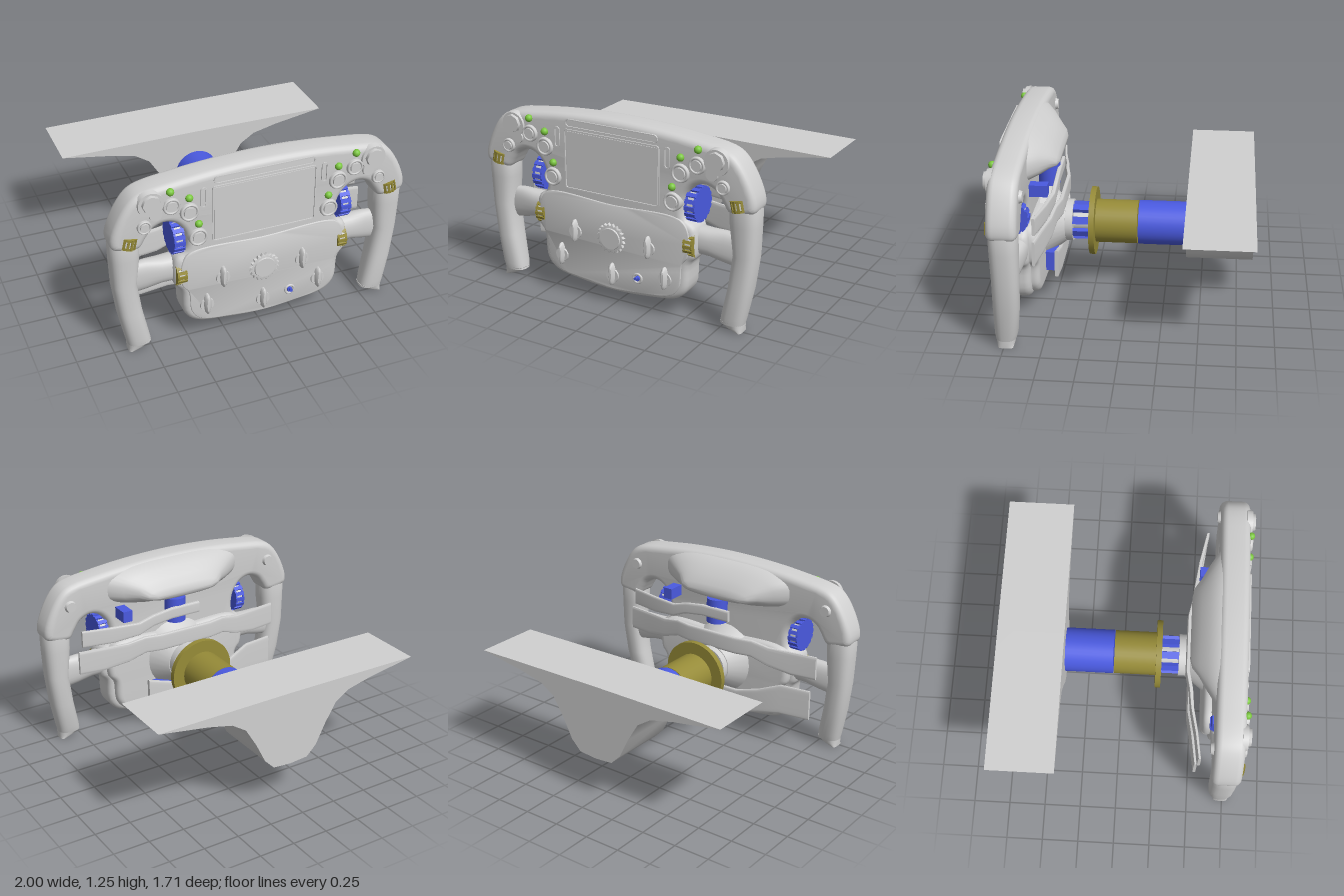
import * as THREE from 'three';
import { toCreasedNormals } from 'three/addons/utils/BufferGeometryUtils.js';

const mat = (name, color) => Object.assign(new THREE.MeshStandardMaterial({ color }), { name });
const X = new THREE.Vector3(1, 0, 0), Y = new THREE.Vector3(0, 1, 0), Z = new THREE.Vector3(0, 0, 1);
const FACE = 0.815; // z of the front face

// Closed loft through superellipse sections [x, y, z, halfU, halfV]; travels along u cross v
function loft(sections, u, v, exponent = 2, sides = 28, crease = 0.7) {
  const pos = [], idx = [], pw = 2 / exponent;
  const bend = (t) => Math.sign(t) * Math.abs(t) ** pw;
  for (const [x, y, z, hu, hv] of sections) {
    for (let i = 0; i < sides; i++) {
      const a = (i / sides) * Math.PI * 2;
      const p = new THREE.Vector3(x, y, z).addScaledVector(u, hu * bend(Math.cos(a))).addScaledVector(v, hv * bend(Math.sin(a)));
      pos.push(p.x, p.y, p.z);
    }
  }
  const last = sections.length - 1, c0 = pos.length / 3;
  pos.push(...sections[0].slice(0, 3), ...sections[last].slice(0, 3));
  for (let i = 0; i < sides; i++) {
    const j = (i + 1) % sides;
    for (let k = 0; k < last; k++) {
      const a = k * sides, b = a + sides;
      idx.push(a + i, a + j, b + j, a + i, b + j, b + i);
    }
    idx.push(c0, j, i, c0 + 1, last * sides + i, last * sides + j);
  }
  const g = new THREE.BufferGeometry();
  g.setAttribute('position', new THREE.Float32BufferAttribute(pos, 3));
  g.setIndex(idx);
  return toCreasedNormals(g, crease);
}

// Outline symmetric about x = 0 from its -x half, listed top to bottom
function outline(half, smooth = true) {
  const pts = [...half, ...half.filter((p) => p[0] < 0).reverse().map(([x, y]) => [-x, y])];
  if (!smooth) return new THREE.Shape(pts.map((p) => new THREE.Vector2(...p)));
  const curve = new THREE.CatmullRomCurve3(pts.map(([x, y]) => new THREE.Vector3(x, y, 0)), true);
  return new THREE.Shape(curve.getPoints(180).slice(0, -1).map((p) => new THREE.Vector2(p.x, p.y)));
}

// Extrusion between two z values with an inward rounded edge
function slab(shape, z0, z1, bevel = 0, crease = 0.6) {
  const g = new THREE.ExtrudeGeometry(shape, {
    depth: z1 - z0 - 2 * bevel, bevelEnabled: bevel > 0, bevelSize: bevel, bevelThickness: bevel,
    bevelOffset: -bevel, bevelSegments: 5, curveSegments: 10,
  });
  g.translate(0, 0, z0 + bevel);
  return toCreasedNormals(g, crease);
}

function roundRect(w, h, r, Type = THREE.Shape) {
  const s = new Type(), x = w / 2 - r, y = h / 2 - r;
  s.absarc(x, y, r, 0, Math.PI / 2);
  s.absarc(-x, y, r, Math.PI / 2, Math.PI);
  s.absarc(-x, -y, r, Math.PI, Math.PI * 1.5);
  s.absarc(x, -y, r, Math.PI * 1.5, Math.PI * 2);
  s.closePath();
  return s;
}

export function createModel() {
  const grey = mat('lightGrey', 0xd0d0d0), blue = mat('blue', 0x4a5ae0);
  const gold = mat('gold', 0x968b38), green = mat('green', 0x7cc840);
  const root = new THREE.Group();
  root.name = 'steeringWheel';

  const add = (name, geo, material, x = 0, y = 0, z = 0, parent = root) => {
    const m = new THREE.Mesh(geo, material);
    m.name = name;
    m.position.set(x, y, z);
    parent.add(m);
    return m;
  };
  // Cylinder along z; r0 is the radius at the front end
  const disc = (name, material, x, y, z0, z1, r0, r1 = r0, sides = 28) =>
    add(name, new THREE.CylinderGeometry(r0, r1, z1 - z0, sides).rotateX(Math.PI / 2), material, x, y, (z0 + z1) / 2);
  // Frame thin enough to read as an engraved border
  const frame = (name, w, h, r, x, y) => {
    const s = roundRect(w, h, r);
    s.holes.push(roundRect(w - 0.016, h - 0.016, r - 0.007, THREE.Path));
    add(name, slab(s, FACE - 0.005, FACE + 0.008), grey, x, y);
  };

  // Body: upper bar and centre section in one rounded slab
  add('body', slab(outline([
    [0, 1.258], [-0.3, 1.248], [-0.55, 1.225], [-0.8, 1.185], [-0.87, 1.14], [-0.95, 1.02], [-0.998, 0.88],
    [-0.985, 0.825], [-0.82, 0.8], [-0.775, 0.86], [-0.73, 0.92], [-0.66, 0.948], [-0.59, 0.93], [-0.535, 0.87],
    [-0.51, 0.79], [-0.52, 0.7], [-0.585, 0.645], [-0.592, 0.46], [-0.55, 0.4], [-0.53, 0.22], [-0.46, 0.145],
    [-0.25, 0.105], [0, 0.088],
  ]), 0.62, FACE, 0.045), grey);
  const lower = [[0, 0.7], [-0.49, 0.7], [-0.55, 0.63], [-0.55, 0.46], [-0.51, 0.4], [-0.49, 0.24], [-0.43, 0.17], [-0.2, 0.13], [0, 0.115]];
  add('lowerFrontPanel', slab(outline(lower), 0.8, 0.822, 0.007), grey);
  add('lowerRearShell', slab(outline(lower), 0.565, 0.7, 0.04), grey);
  add('rearHump', loft([
    [0, 1.1, 0.68, 0.145, 0.6], [0, 1.1, 0.63, 0.145, 0.54], [0, 1.085, 0.56, 0.115, 0.43],
    [0, 1.07, 0.51, 0.08, 0.34], [0, 1.05, 0.465, 0.045, 0.28], [0, 1.04, 0.45, 0.02, 0.22],
  ], Y, X, 2.8, 40, 1), grey);

  // Screen, light strip and side slots
  add('screen', new THREE.BoxGeometry(0.67, 0.37, 0.008), grey, 0, 0.95, FACE);
  frame('screenFrame', 0.7, 0.4, 0.02, 0, 0.95);
  frame('lightStrip', 0.68, 0.055, 0.027, 0, 1.19);

  // Ribbed roller with its axis along x
  const roller = (name, material, x, y, z, r, w, ribs, tilt = 0) => {
    const g = new THREE.Group();
    g.name = name;
    g.position.set(x, y, z);
    g.rotation.z = tilt;
    root.add(g);
    add('rollerCore', new THREE.CylinderGeometry(r * 0.9, r * 0.9, w * 0.9, 32).rotateZ(Math.PI / 2), grey, 0, 0, 0, g);
    for (const s of [-1, 1])
      add('rollerRim', new THREE.CylinderGeometry(r * 0.94, r * 0.94, w * 0.2, 32).rotateZ(Math.PI / 2), material, s * w * 0.4, 0, 0, g);
    for (let i = 0; i < ribs; i++) {
      const a = (i / ribs) * Math.PI * 2;
      const rib = add('rollerRib', new THREE.BoxGeometry(w, r * 0.25, r * 3.6 / ribs), material, 0, Math.cos(a) * r * 0.875, Math.sin(a) * r * 0.875, g);
      rib.rotation.x = a;
    }
  };
  const ringButton = (x, y, r) => {
    disc('buttonBase', grey, x, y, 0.79, 0.828, r, r * 1.05);
    disc('buttonCap', grey, x, y, 0.79, 0.838, r * 0.62, r * 0.68);
    add('buttonRing', new THREE.TorusGeometry(r * 0.86, r * 0.14, 8, 28), grey, x, y, 0.828);
  };

  for (const s of [-1, 1]) {
    frame('sideSlot', 0.042, 0.14, 0.02, s * 0.405, 1.085);
    // Grip and the spoke joining it to the body
    add('grip', loft([
      [s * 0.9, 0.87, 0.717, 0.088, 0.085], [s * 0.9, 0.82, 0.717, 0.098, 0.094], [s * 0.9, 0.72, 0.717, 0.096, 0.093],
      [s * 0.908, 0.52, 0.715, 0.08, 0.088], [s * 0.88, 0.3, 0.722, 0.08, 0.085], [s * 0.84, 0.1, 0.735, 0.08, 0.075],
      [s * 0.832, 0.055, 0.738, 0.078, 0.066],
    ].map((p) => p), X, Z, 2.6), grey);
    add('gripEnd', loft([
      [s * 0.832, 0.07, 0.738, 0.078, 0.068], [s * 0.85, 0.035, 0.738, 0.06, 0.06], [s * 0.89, 0.005, 0.738, 0.018, 0.05],
    ], X, Z, 2.6), grey);
    const spoke = [[-0.88, 0.52, 0.7, 0.11, 0.04], [-0.76, 0.535, 0.7, 0.105, 0.055], [-0.66, 0.545, 0.7, 0.09, 0.07], [-0.53, 0.55, 0.7, 0.09, 0.08]];
    add('spoke', loft(s < 0 ? spoke : spoke.map(([x, ...r]) => [-x, ...r]).reverse(), Y, Z, 2.5), grey);

    // Thumb rollers
    roller('thumbWheel', blue, s * 0.567, 0.79, 0.72, 0.115, 0.072, 16);
    roller('bodyRoller', gold, s * 0.555, 0.535, 0.755, 0.085, 0.065, 16);
    roller('cornerRoller', gold, s * 0.885, 0.862, 0.775, 0.06, 0.075, 14, Math.PI / 2 + s * 0.22);

    // Buttons, corner knob and green lamps
    for (const [x, y, r] of [[0.615, 1.075, 0.055], [0.5, 1.005, 0.06], [0.79, 0.965, 0.045], [0.445, 0.81, 0.06]]) ringButton(s * x, y, r);
    disc('cornerKnobBase', grey, s * 0.745, 1.115, 0.79, 0.828, 0.082, 0.09);
    disc('cornerKnob', grey, s * 0.745, 1.125, 0.8, 0.848, 0.058, 0.066, 8);
    disc('cornerKnobFoot', grey, s * 0.715, 1.035, 0.79, 0.828, 0.04, 0.048, 16);
    for (const [x, y] of [[0.62, 1.175], [0.5, 1.105], [0.44, 0.905]])
      add('greenLamp', new THREE.SphereGeometry(0.025, 16, 12), green, s * x, y, FACE + 0.004);
    disc('rearButton', grey, s * 0.81, 1.05, 0.6, 0.64, 0.05, 0.035);
  }

  // Selector dials with upright fins
  for (const [x, y] of [[-0.28, 0.47], [0.27, 0.47], [-0.39, 0.285], [0.39, 0.285], [0, 0.225]]) {
    disc('dialBase', grey, x, y - 0.01, 0.8, 0.832, 0.046, 0.052);
    add('dialFin', loft([[x, y, 0.81, 0.026, 0.078], [x, y, 0.845, 0.022, 0.075], [x, y, 0.86, 0.01, 0.055]], X, Y, 2), grey);
  }
  // Scalloped central rotary
  const teeth = new THREE.Shape(Array.from({ length: 40 }, (_, i) => {
    const a = (i / 40) * Math.PI * 2, r = i % 2 ? 0.103 : 0.088;
    return new THREE.Vector2(Math.cos(a) * r, Math.sin(a) * r);
  }));
  add('centreRotary', slab(teeth, 0.81, 0.842, 0.004), grey, 0, 0.475);
  disc('centreRotaryCap', grey, 0, 0.475, 0.82, 0.85, 0.07, 0.082);
  // Toggle switch
  add('toggleRing', new THREE.TorusGeometry(0.03, 0.008, 8, 24), grey, 0.19, 0.235, 0.824);
  disc('toggleBase', blue, 0.19, 0.235, 0.81, 0.834, 0.016, 0.02, 16);
  disc('toggleLever', blue, 0.19, 0.243, 0.82, 0.855, 0.011, 0.007, 12);

  // Rear paddles, swept along x
  const paddle = (name, sections) => add(name, loft(sections, Y, Z, 6, 24, 0.5), grey);
  const arm = [[-0.8, 0.645, 0.55, 0.085, 0.01], [-0.62, 0.645, 0.525, 0.085, 0.011], [-0.45, 0.665, 0.49, 0.07, 0.012], [-0.32, 0.7, 0.475, 0.06, 0.014], [-0.2, 0.7, 0.45, 0.06, 0.014]];
  paddle('middlePaddle', [...arm, ...arm.map(([x, ...r]) => [-x, ...r]).reverse()]);
  paddle('upperPaddle', [[-0.12, 0.89, 0.475, 0.04, 0.014], [0.1, 0.89, 0.475, 0.04, 0.014], [0.25, 0.87, 0.475, 0.04, 0.014], [0.36, 0.83, 0.48, 0.045, 0.014], [0.55, 0.82, 0.505, 0.058, 0.012], [0.77, 0.82, 0.55, 0.06, 0.01]]);
  paddle('lowerPaddle', [[-0.77, 0.36, 0.535, 0.11, 0.01], [-0.55, 0.36, 0.505, 0.11, 0.012], [-0.38, 0.31, 0.48, 0.09, 0.014], [-0.2, 0.26, 0.48, 0.085, 0.014], [0.1, 0.26, 0.48, 0.085, 0.014], [0.3, 0.31, 0.48, 0.1, 0.014]]);
  add('upperPaddleMount', new THREE.CylinderGeometry(0.075, 0.075, 0.18, 20), blue, 0.03, 0.89, 0.55);
  add('sidePaddleMount', new THREE.BoxGeometry(0.07, 0.08, 0.13), blue, 0.435, 0.93, 0.565);
  add('lowerPaddleMount', new THREE.BoxGeometry(0.16, 0.14, 0.1), blue, 0.14, 0.285, 0.54);

  // Hub, coupling struts, flange and steering column
  const cy = 0.505;
  disc('hub', grey, 0, cy, 0.44, 0.6, 0.27, 0.15);
  disc('hubCollar', grey, 0, cy, 0.39, 0.45, 0.145);
  disc('couplingCore', grey, 0, cy, 0.25, 0.4, 0.075);
  for (let i = 0; i < 8; i++) {
    const a = ((i + 0.5) / 8) * Math.PI * 2;
    const strut = add('couplingStrut', new THREE.BoxGeometry(0.03, 0.05, 0.15), blue, Math.cos(a) * 0.115, cy + Math.sin(a) * 0.115, 0.325);
    strut.rotation.z = a;
  }
  disc('flange', gold, 0, cy, 0.232, 0.27, 0.235, 0.235, 40);
  disc('upperColumn', gold, 0, cy, -0.055, 0.235, 0.15, 0.15, 36);
  disc('lowerColumn', blue, 0, cy, -0.42, -0.062, 0.152, 0.152, 36);

  // Dashboard support: wide wing with a funnel-shaped keel
  add('dashboardSupport', slab(outline([
    [0, 0.818], [-0.97, 0.812], [-0.62, 0.755], [-0.45, 0.715], [-0.35, 0.65], [-0.27, 0.52], [-0.2, 0.38], [-0.13, 0.31], [0, 0.3],
  ], false), -0.85, -0.395, 0, 0.75), grey);

  return root;
}
